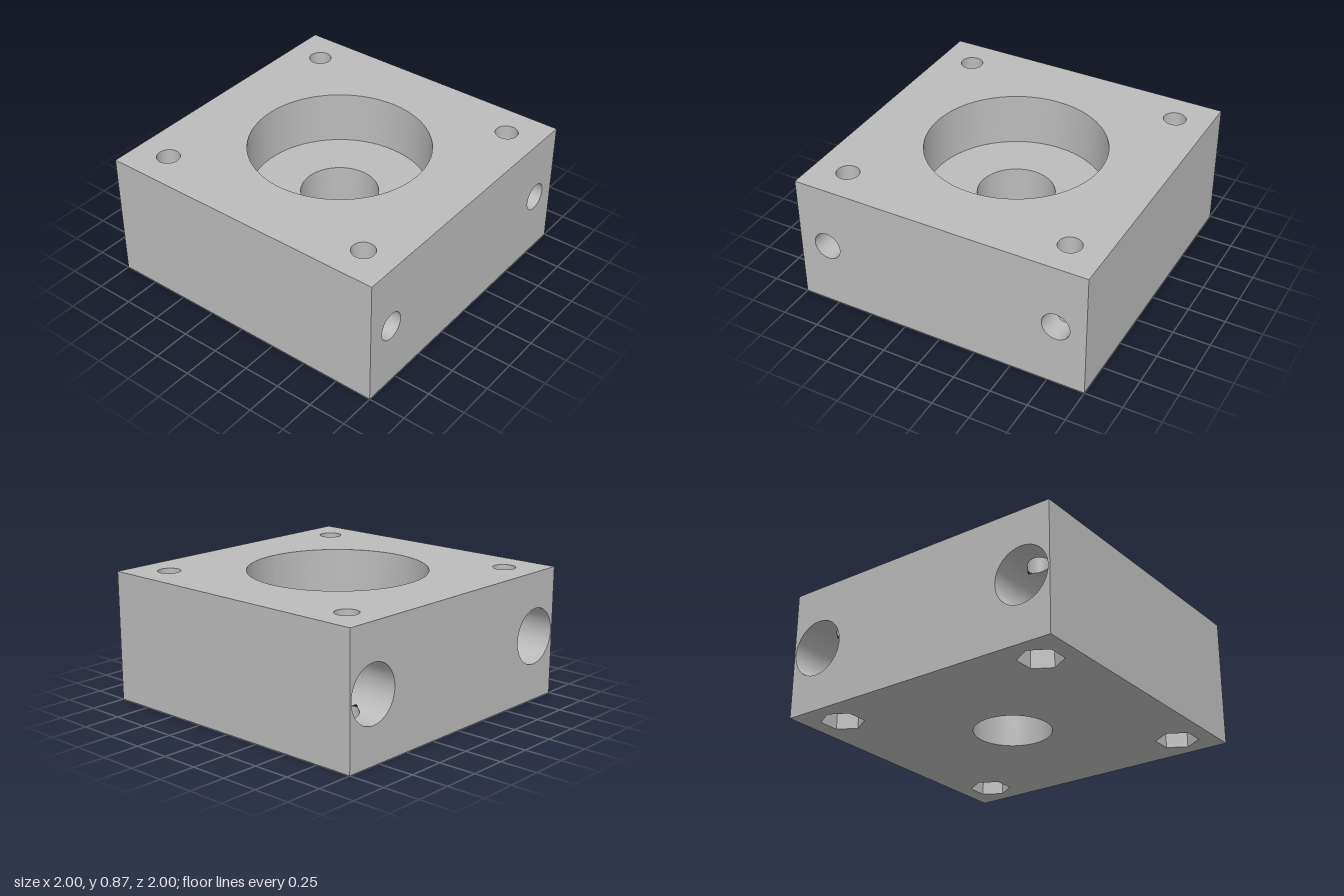
import * as THREE from 'three';

const H = 0.865, N = 64;                        // block height, circle segments
const BOLT = 0.767, BOLT_R = 0.075;             // vertical bolt holes
const NUT_R = 0.14, NUT_TOP = 0.2;              // hexagonal nut pockets
const BORE_R = 0.255, SEAT_R = 0.59, SEAT_Y = 0.503; // central bore and recess
const ROD_Y = 0.435, ROD_Z = 0.8;               // cross holes along x
const ROD_R = 0.093, HEAD_R = 0.188, STEP_X = 0.4;

export function createModel() {
  const model = new THREE.Group();
  const grey = new THREE.MeshStandardMaterial({ color: 0xbcbcbc });
  grey.name = 'plain grey';

  const add = (name, geometry, x = 0, y = 0, z = 0) => {
    const mesh = new THREE.Mesh(geometry, grey);
    mesh.name = name;
    mesh.position.set(x, y, z);
    model.add(mesh);
  };
  const ring = (x, y, r, n = N) => Array.from({ length: n }, (_, i) => {
    const a = i / n * Math.PI * 2;
    return new THREE.Vector2(x + r * Math.cos(a), y + r * Math.sin(a));
  });
  const rect = (w, h) => [[-1, -1], [1, -1], [1, 1], [-1, 1]]
    .map(([x, y]) => new THREE.Vector2(x * w / 2, y * h / 2));
  // Flat face with holes, facing +z until rotated
  const face = (outline, holes = []) => {
    const shape = new THREE.Shape(outline);
    shape.holes = holes.map(points => new THREE.Path(points));
    return new THREE.ShapeGeometry(shape);
  };
  // Inward-facing wall around y; low and high give the end heights at each z
  const wall = (r, low, high, n = N) => {
    let g = new THREE.CylinderGeometry(r, r, 1, n, 1, true).rotateY(Math.PI / 2);
    const p = g.attributes.position;
    for (let i = 0; i < p.count; i++) {
      p.setY(i, p.getY(i) > 0 ? low(p.getZ(i)) : high(p.getZ(i)));
    }
    if (n < 12) g = g.toNonIndexed();
    g.computeVertexNormals();
    return g;
  };
  const at = value => () => value;
  const chord = (r, d) => Math.sqrt(Math.max(0, r * r - d * d));
  const up = g => g.rotateX(-Math.PI / 2);
  const down = g => g.rotateX(Math.PI / 2);
  const toLeft = g => g.rotateY(Math.PI / 2);
  const toRight = g => g.rotateY(-Math.PI / 2);

  // Outer faces of the block
  const corners = [[-1, -1], [1, -1], [1, 1], [-1, 1]];
  const bolts = (r, n) => corners.map(([x, z]) => ring(x * BOLT, z * BOLT, r, n));
  const rods = r => [-1, 1].map(s => ring(s * ROD_Z, ROD_Y - H / 2, r));
  add('topFace', up(face(rect(2, 2), [ring(0, 0, SEAT_R), ...bolts(BOLT_R, N)])), 0, H);
  add('bottomFace', down(face(rect(2, 2), [ring(0, 0, BORE_R), ...bolts(NUT_R, 6)])));
  add('frontFace', face(rect(2, H)), 0, H / 2, 1);
  add('backFace', face(rect(2, H)).rotateY(Math.PI), 0, H / 2, -1);
  add('leftFace', toLeft(face(rect(2, H), rods(ROD_R))), 1, H / 2);
  add('rightFace', toRight(face(rect(2, H), rods(HEAD_R))), -1, H / 2);

  // Central recess and through bore
  add('recessWall', wall(SEAT_R, at(SEAT_Y), at(H)));
  add('recessFloor', up(face(ring(0, 0, SEAT_R), [ring(0, 0, BORE_R)])), 0, SEAT_Y);
  add('centralBore', wall(BORE_R, at(0), at(SEAT_Y)));

  // Bolt holes, trimmed where they open into the cross holes, and nut pockets
  for (const [sx, sz] of corners) {
    const x = sx * BOLT, z = sz * BOLT;
    const r = sx < 0 ? HEAD_R : ROD_R;
    const reach = dz => chord(r, z + dz - sz * ROD_Z);
    add('boltHoleUpper', wall(BOLT_R, dz => ROD_Y + reach(dz), at(H)), x, 0, z);
    add('boltHoleLower', wall(BOLT_R, at(NUT_TOP), dz => ROD_Y - reach(dz)), x, 0, z);
    add('nutPocketWall', wall(NUT_R, at(0), at(NUT_TOP), 6), x, 0, z);
    add('nutPocketRoof', down(face(ring(0, 0, NUT_R, 6), [ring(0, 0, BOLT_R)])), x, NUT_TOP, z);
  }

  // Stepped cross holes, wide at the right face and narrow at the left,
  // each with openings cut by the bolt holes
  for (const s of [-1, 1]) {
    const z = s * ROD_Z;
    const cut = dz => chord(BOLT_R, z + dz - s * BOLT);
    const tube = (name, r, a, b) => add(name, wall(r, a, b).rotateZ(-Math.PI / 2), 0, ROD_Y, z);
    tube('wideHoleMouth', HEAD_R, at(-1), dz => -BOLT - cut(dz));
    tube('wideHole', HEAD_R, dz => -BOLT + cut(dz), at(STEP_X));
    tube('narrowHole', ROD_R, at(STEP_X), dz => BOLT - cut(dz));
    tube('narrowHoleMouth', ROD_R, dz => BOLT + cut(dz), at(1));
    add('holeStep', toRight(face(ring(0, 0, HEAD_R), [ring(0, 0, ROD_R)])), STEP_X, ROD_Y, z);
  }
  return model;
}
